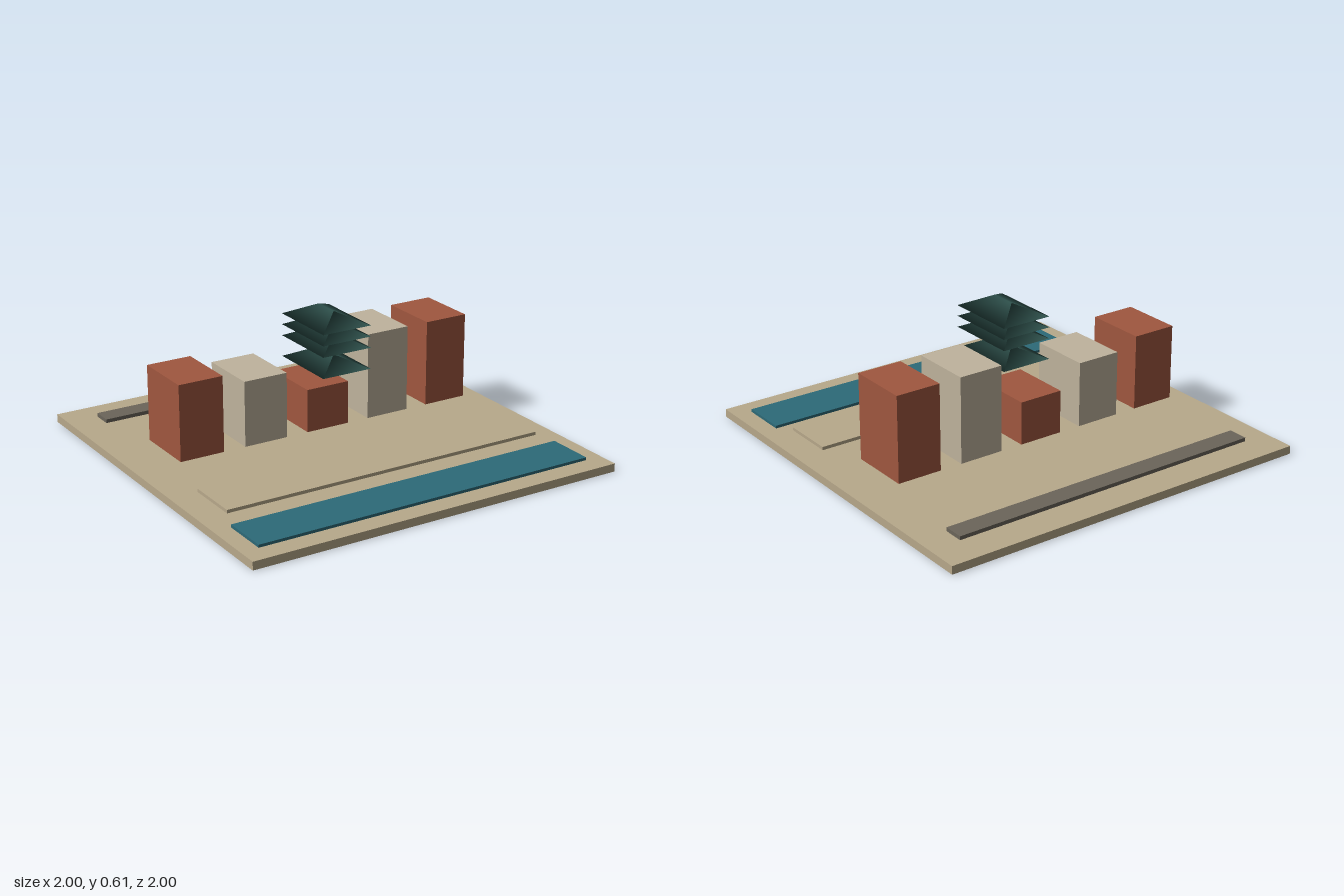
import * as THREE from 'three';

const mat = (color) => new THREE.MeshStandardMaterial({ color });

// Hipped roof: rectangular eaves, ridge along z, softly shaded
function hipRoof(width, depth, height, ridge) {
  const w = width / 2, d = depth / 2, r = ridge / 2;
  const g = new THREE.BufferGeometry();
  g.setAttribute('position', new THREE.Float32BufferAttribute([
    -w, 0, -d, w, 0, -d, w, 0, d, -w, 0, d, // eaves
    0, height, -r, 0, height, r, // ridge
  ], 3));
  g.setIndex([3, 2, 5, 2, 1, 4, 2, 4, 5, 1, 0, 4, 0, 3, 5, 0, 5, 4, 0, 1, 2, 0, 2, 3]);
  g.computeVertexNormals();
  return g;
}

export function createModel() {
  const model = new THREE.Group();
  model.name = 'waterfrontDistrict';
  const site = new THREE.Group();
  site.name = 'site';
  site.rotation.y = -0.2196;
  model.add(site);

  const sand = mat(0xb8a98b), water = mat(0x2d6a78), asphalt = mat(0x6b655a);
  const brick = mat(0xa0573f), stone = mat(0xbfb39d), slate = mat(0x2f524d);

  // Box spanning y0..y1, centred at x, z
  const slab = (name, w, d, y0, y1, x, z, material) => {
    const mesh = new THREE.Mesh(new THREE.BoxGeometry(w, y1 - y0, d), material);
    mesh.name = name;
    mesh.position.set(x, (y0 + y1) / 2, z);
    site.add(mesh);
  };

  // Ground and the flat strips laid on it
  slab('ground', 1.675, 1.675, 0, 0.035, 0, 0, sand);
  slab('canal', 1.524, 0.205, 0.035, 0.047, 0, 0.647, water);
  slab('promenade', 1.46, 0.232, 0.05, 0.064, 0, 0.342, sand);
  slab('road', 1.42, 0.087, 0.042, 0.058, 0, -0.663, asphalt);

  // Row of five buildings, alternating brick and stone
  [0.41, 0.365, 0.27, 0.455, 0.455].forEach((top, i) => {
    slab(`building${i + 1}`, 0.196, 0.27, 0.085, top, (i - 2) * 0.294, -0.129, i % 2 ? stone : brick);
  });

  // Stacked roofs over the middle building
  const roofGeometry = hipRoof(0.226, 0.321, 0.052, 0.115);
  [0.37, 0.46, 0.508, 0.555].forEach((y, i) => {
    const roof = new THREE.Mesh(roofGeometry, slate);
    roof.name = `roofTier${i + 1}`;
    roof.position.set(-0.003, y, -0.003);
    site.add(roof);
  });

  return model;
}
